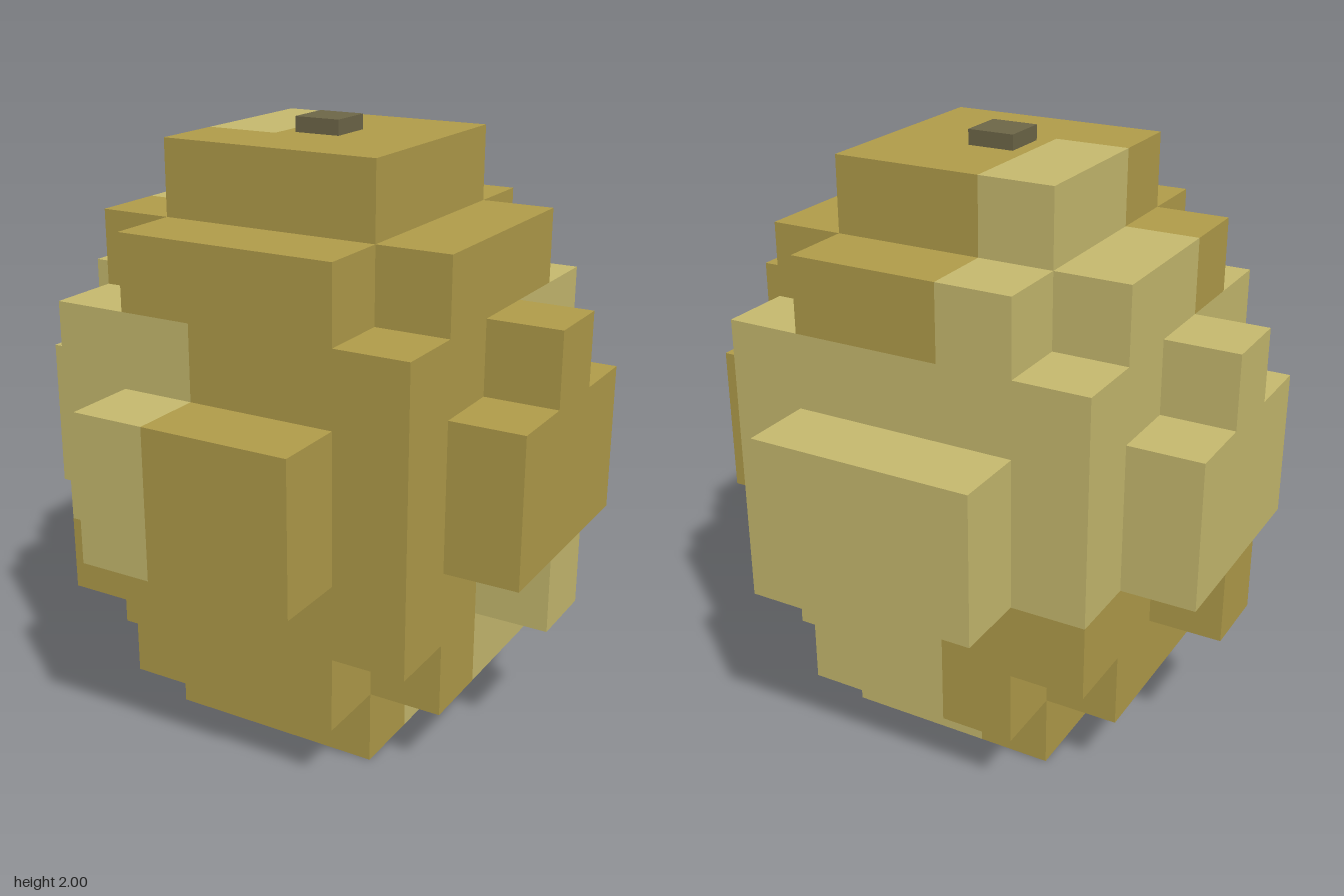
import * as THREE from 'three';

const CELL = 2 / 8.2; // one grid block; the stud on top is a fifth of a block high

const darkOchre = new THREE.MeshStandardMaterial({ color: 0xb39e4b });
darkOchre.name = 'dark ochre';
const paleOchre = new THREE.MeshStandardMaterial({ color: 0xc9bc70 });
paleOchre.name = 'pale ochre';
const stemBrown = new THREE.MeshStandardMaterial({ color: 0x6f6849 });
stemBrown.name = 'stem brown';

// Colour zones that fill the whole grid: [min corner], [max corner], material
const ZONES = [
  [[-3.5, 0, -3.5], [-0.5, 3, 3.5], darkOchre],
  [[-0.5, 0, -3.5], [3.5, 3, 0.5], paleOchre],
  [[-0.5, 0, 0.5], [3.5, 3, 3.5], darkOchre],
  [[-3.5, 3, -3.5], [-0.5, 6, 3.5], paleOchre],
  [[-0.5, 3, -3.5], [2.5, 6, -0.5], paleOchre],
  [[-0.5, 3, -0.5], [2.5, 6, 3.5], darkOchre],
  [[2.5, 3, -3.5], [3.5, 6, 3.5], darkOchre],
  [[-3.5, 6, -3.5], [-0.5, 8, 0.5], paleOchre],
  [[-3.5, 6, 0.5], [-0.5, 8, 3.5], darkOchre],
  [[-0.5, 6, -3.5], [3.5, 8, 3.5], darkOchre],
];

// A box between two corners given in grid units
function box(min, max, material) {
  const s = min.map((m, i) => (max[i] - m) * CELL);
  const c = min.map((m, i) => ((max[i] + m) / 2) * CELL);
  const mesh = new THREE.Mesh(new THREE.BoxGeometry(...s), material);
  mesh.position.set(...c);
  return mesh;
}

// A named part made of boxes, each cut along the colour zones
function part(name, boxes) {
  const group = new THREE.Group();
  group.name = name;
  for (const [min, max] of boxes) {
    for (const [zMin, zMax, material] of ZONES) {
      const lo = min.map((m, i) => Math.max(m, zMin[i]));
      const hi = max.map((m, i) => Math.min(m, zMax[i]));
      if (lo.every((l, i) => l < hi[i])) {
        const mesh = box(lo, hi, material);
        mesh.name = name + 'Block';
        group.add(mesh);
      }
    }
  }
  return group;
}

// A five-wide layer with its four corners missing
const notchedLayer = (y) => [
  [[-2.5, y, -1.5], [2.5, y + 1, 1.5]],
  [[-1.5, y, 1.5], [1.5, y + 1, 2.5]],
  [[-1.5, y, -2.5], [1.5, y + 1, -1.5]],
];

// A plus-shaped bump on a side
const sideBump = (x) => [
  [[x, 3, -1.5], [x + 1, 5, 1.5]],
  [[x, 2, -0.5], [x + 1, 3, 0.5]],
  [[x, 5, -0.5], [x + 1, 6, 0.5]],
];

export function createModel() {
  const model = new THREE.Group();
  model.name = 'blockyEgg';

  // Stacked body
  model.add(part('bottomCap', [[[-1.5, 0, -1.5], [1.5, 1, 1.5]]]));
  model.add(part('lowerLayer', notchedLayer(1)));
  model.add(part('core', [[[-2.5, 2, -2.5], [2.5, 6, 2.5]]]));
  model.add(part('upperLayer', notchedLayer(6)));
  model.add(part('topCap', [[[-1.5, 7, -1.5], [1.5, 8, 1.5]]]));

  // Bumps on the four sides
  model.add(part('frontBump', [[[-1.5, 3, 2.5], [1.5, 5, 3.5]]]));
  model.add(part('backBump', [[[-1.5, 3, -3.5], [1.5, 5, -2.5]]]));
  model.add(part('leftBump', sideBump(2.5)));
  model.add(part('rightBump', sideBump(-3.5)));

  // Small stud on top
  const stem = box([-0.315, 8, -0.315], [0.315, 8.2, 0.315], stemBrown);
  stem.name = 'stem';
  model.add(stem);

  return model;
}
